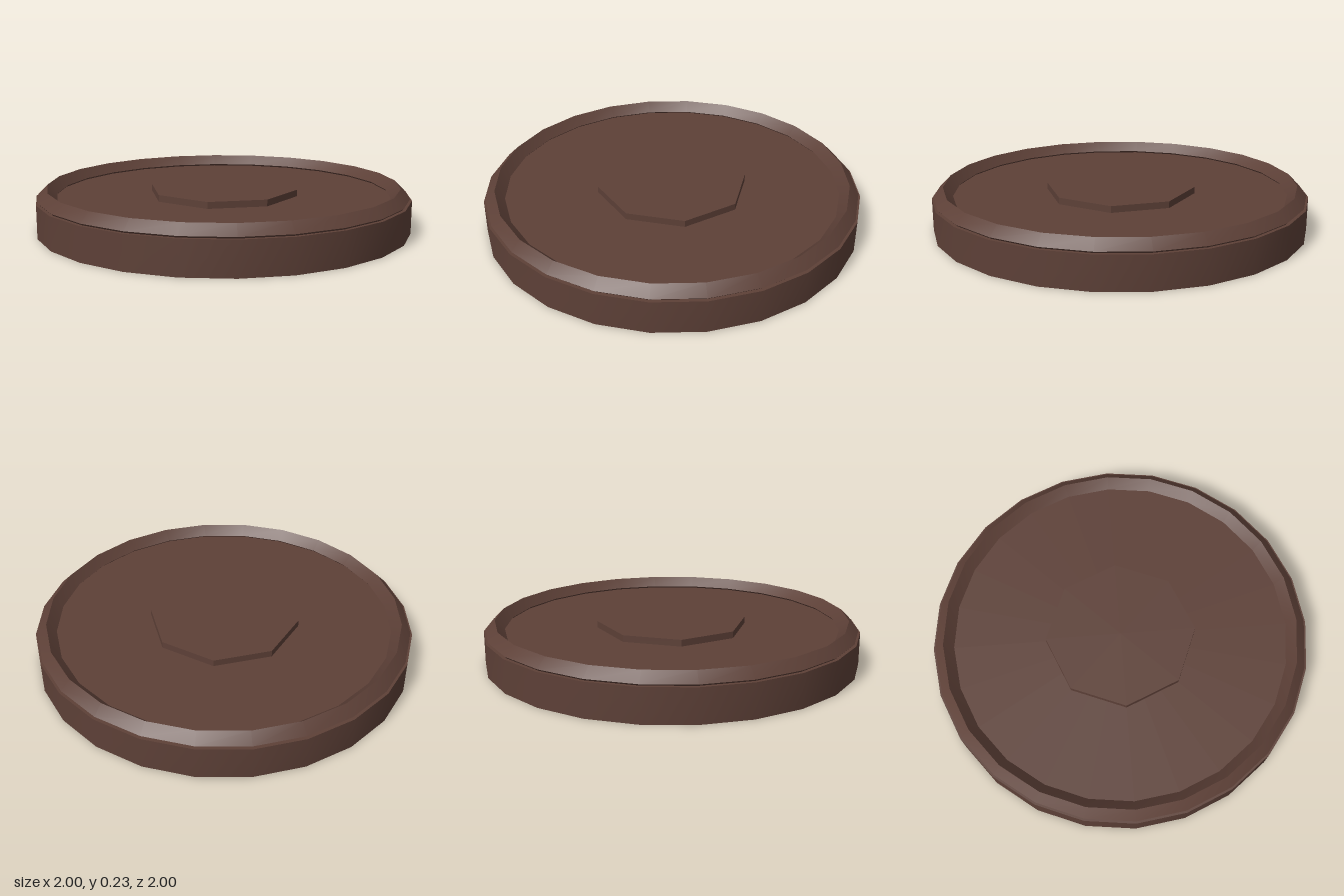
import * as THREE from 'three';
import { toCreasedNormals } from 'three/addons/utils/BufferGeometryUtils.js';

export function createModel() {
  const model = new THREE.Group();
  model.name = 'roundBase';
  const brown = new THREE.MeshStandardMaterial({ color: 0x5d4037 });
  brown.name = 'darkBrown';

  // Smooth around the circle, sharp at the bevels
  const add = (name, geometry, y) => {
    const mesh = new THREE.Mesh(toCreasedNormals(geometry, Math.PI / 6), brown);
    mesh.name = name;
    mesh.position.y = y;
    model.add(mesh);
  };

  // Main disc
  const discTop = 0.175;
  add('disc', new THREE.CylinderGeometry(1, 1, discTop, 24), discTop / 2);

  // Raised rim with a diamond cross-section
  add('rim', new THREE.TorusGeometry(0.94, 0.05, 4, 24).rotateX(-Math.PI / 2), 0.184);

  // Low octagonal boss in the middle
  const bossHeight = 0.035;
  add('centreBoss', new THREE.CylinderGeometry(0.4, 0.4, bossHeight, 8), discTop + bossHeight / 2);

  return model;
}
